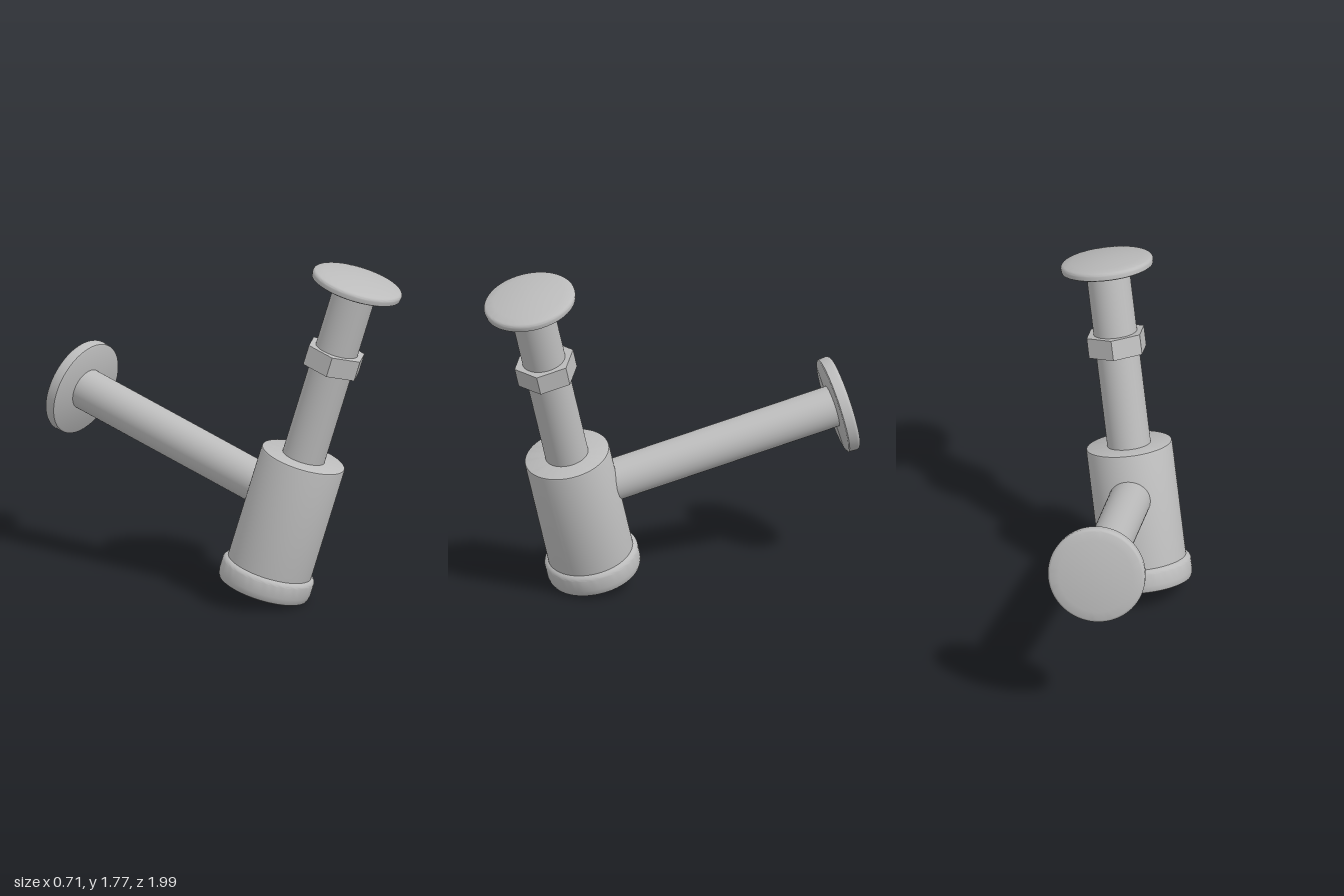
import * as THREE from 'three';
import { toCreasedNormals } from 'three/addons/utils/BufferGeometryUtils.js';

const metal = new THREE.MeshStandardMaterial({ color: 0xbcbcbc });
metal.name = 'grey metal';

function addPart(parent, name, geometry) {
  const mesh = new THREE.Mesh(geometry, metal);
  mesh.name = name;
  parent.add(mesh);
  return mesh;
}

// Solid of revolution around y; profile runs from the bottom to the top as [radius, height]
function turned(profile) {
  const points = profile.map(([r, y]) => new THREE.Vector2(r, y));
  return toCreasedNormals(new THREE.LatheGeometry(points, 64), 0.6);
}

// Straight round pipe between two heights
function pipe(radius, from, to) {
  return new THREE.CylinderGeometry(radius, radius, to - from, 64).translate(0, (from + to) / 2, 0);
}

// Disc with a rounded rim and a shallow domed face
function flange(radius, base, rim, dome) {
  const profile = [[0, base], [radius - 0.012, base], [radius - 0.003, base + 0.005]];
  const soft = 0.02;
  for (let i = 0; i <= 4; i++) {
    const a = (i / 4) * Math.PI * 0.4;
    profile.push([radius - soft + soft * Math.cos(a), base + rim - soft + soft * Math.sin(a)]);
  }
  for (let i = 1; i <= 6; i++) {
    const k = 1 - i / 6;
    profile.push([(radius - soft) * k, base + rim + dome * (1 - k * k)]);
  }
  return turned(profile);
}

export function createModel() {
  const model = new THREE.Group();
  model.name = 'bottleTrap';

  // Whole trap leans forwards and to its left; the outlet is square to the bottle
  const trap = new THREE.Group();
  trap.name = 'leaningTrap';
  const up = new THREE.Vector3(0.143, 0.9586, 0.246).normalize();
  const side = new THREE.Vector3().crossVectors(up, new THREE.Vector3(-0.037, -0.252, 1)).normalize();
  const front = new THREE.Vector3().crossVectors(side, up);
  trap.quaternion.setFromRotationMatrix(new THREE.Matrix4().makeBasis(side, up, front));
  trap.position.set(-0.12, 0.066, 0.35);
  model.add(trap);

  // Bottle and its screw cap
  addPart(trap, 'bottomCap', turned([
    [0, 0], [0.222, 0], [0.233, 0.006], [0.239, 0.02], [0.242, 0.04],
    [0.242, 0.1], [0.239, 0.108], [0.23, 0.118], [0.215, 0.125], [0, 0.125],
  ]));
  addPart(trap, 'bottleBody', turned([
    [0.22, 0.1], [0.22, 0.722], [0.217, 0.73], [0.21, 0.733], [0, 0.733],
  ]));

  // Inlet pipe with hexagonal nut and drain flange
  addPart(trap, 'inletPipe', pipe(0.111, 0.7, 1.69));
  const nut = new THREE.CylinderGeometry(0.158, 0.158, 0.105, 6).translate(0, 1.277, 0);
  addPart(trap, 'hexNut', toCreasedNormals(nut, 0.5));
  addPart(trap, 'inletFlange', flange(0.237, 1.672, 0.045, 0.022));

  // Outlet pipe running back to the wall flange
  const outlet = new THREE.Group();
  outlet.name = 'outlet';
  outlet.position.y = 0.489;
  outlet.rotation.x = -Math.PI / 2;
  trap.add(outlet);
  addPart(outlet, 'outletPipe', pipe(0.107, 0.08, 1.41));
  addPart(outlet, 'wallFlange', flange(0.25, 1.384, 0.066, 0.018));

  return model;
}
